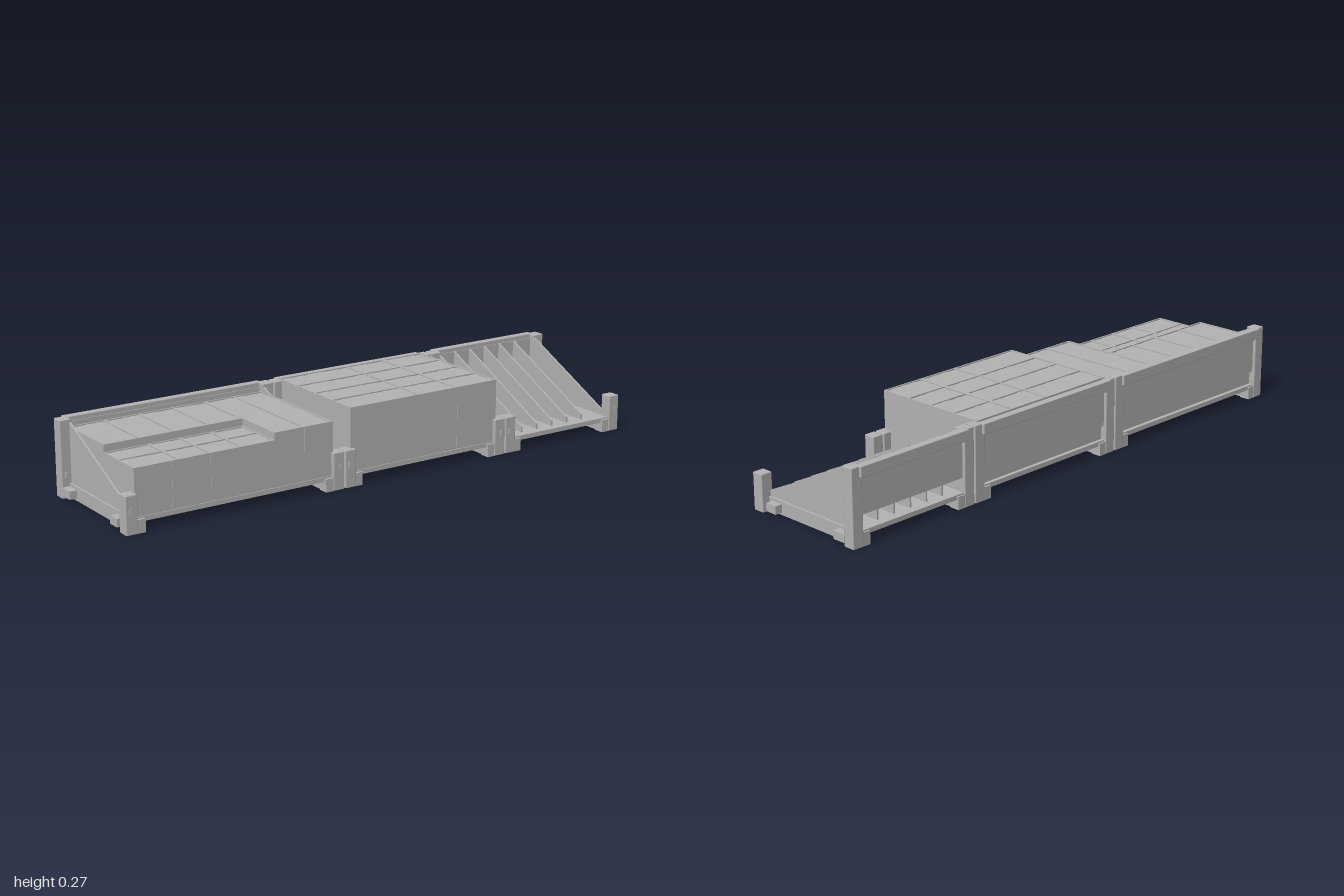
import * as THREE from 'three';
import { RoundedBoxGeometry } from 'three/addons/geometries/RoundedBoxGeometry.js';

const grey = new THREE.MeshStandardMaterial({ color: 0xb4b4b4 });
grey.name = 'plain grey';

function add(parent, name, geometry) {
  const mesh = new THREE.Mesh(geometry, grey);
  mesh.name = name;
  parent.add(mesh);
  return mesh;
}

// Box given by its lower and upper limits on each axis
function block(parent, name, x0, x1, y0, y1, z0, z1, radius = 0) {
  const s = [x1 - x0, y1 - y0, z1 - z0];
  const geo = radius ? new RoundedBoxGeometry(...s, 1, radius) : new THREE.BoxGeometry(...s);
  return add(parent, name, geo).position.set((x0 + x1) / 2, (y0 + y1) / 2, (z0 + z1) / 2);
}

// Triangular upright plate that rises towards the back
function slopedPlate(parent, name, x, thickness = 0.006) {
  const shape = new THREE.Shape([
    new THREE.Vector2(-0.197, 0.045), new THREE.Vector2(0.195, 0.045),
    new THREE.Vector2(0.195, 0.257), new THREE.Vector2(-0.197, 0.07),
  ]);
  const geo = new THREE.ExtrudeGeometry(shape, { depth: thickness, bevelEnabled: false });
  geo.rotateY(Math.PI / 2); // shape x runs towards -z
  add(parent, name, geo).position.x = x - thickness / 2;
}

// Rough, slightly lumpy fill seen between the dividers
function roughFill(parent, x0, x1, y, z0, z1) {
  const w = x1 - x0, d = z1 - z0;
  const geo = new THREE.PlaneGeometry(w, d, Math.ceil(w / 0.02), Math.ceil(d / 0.02));
  geo.rotateX(-Math.PI / 2);
  geo.translate((x0 + x1) / 2, y, (z0 + z1) / 2);
  const p = geo.attributes.position;
  for (let i = 0; i < p.count; i++) {
    const x = p.getX(i), z = p.getZ(i);
    p.setY(i, y + 0.0015 * Math.sin(x * 83 + 3 * Math.sin(z * 61)) * Math.cos(z * 97 + 2 * Math.sin(x * 47)));
  }
  geo.computeVertexNormals();
  add(parent, 'roughFill', geo);
}

// Closed bin: solid core, rim walls and a rough top
function bin(parent, x0, x1, top, z0, z1) {
  const g = new THREE.Group();
  g.name = 'bin';
  parent.add(g);
  const t = 0.005;
  block(g, 'binCore', x0 + 0.001, x1 - 0.001, 0.05, top - 0.008, z0 + 0.001, z1 - 0.001);
  for (const z of [z0, z1 - t]) block(g, 'binWall', x0, x1, 0.05, top, z, z + t);
  for (const x of [x0, x1 - t]) block(g, 'binSide', x, x + t, 0.05, top, z0 + t, z1 - t);
  roughFill(g, x0 + t, x1 - t, top - 0.004, z0 + t, z1 - t);
  return g;
}

const dividerX = (g, x, top, z0, z1, t = 0.008) =>
  block(g, 'divider', x - t / 2, x + t / 2, top - 0.012, top, z0, z1);
const dividerZ = (g, z, top, x0, x1, t = 0.008) =>
  block(g, 'divider', x0, x1, top - 0.012, top, z - t / 2, z + t / 2);

// Frame of one rack: posts, feet, side rails, floor and back board
function frame(parent, name, x0, x1) {
  const g = new THREE.Group();
  g.name = name;
  parent.add(g);
  for (const [x, s] of [[x0, 1], [x1, -1]]) {
    const side = (label, a, b, ...rest) =>
      block(g, label, Math.min(x + s * a, x + s * b), Math.max(x + s * a, x + s * b), ...rest);
    side('frontPost', 0, 0.042, 0, 0.13, 0.197, 0.24, 0.003);
    side('frontFoot', 0.004, 0.07, 0, 0.045, 0.199, 0.237);
    side('backPost', 0, 0.042, 0, 0.265, -0.233, -0.19, 0.003);
    side('backFoot', 0.004, 0.07, 0, 0.045, -0.231, -0.192);
    side('sideRail', 0.027, 0.07, 0.003, 0.05, -0.195, 0.2);
    side('latchBar', 0, 0.03, 0.012, 0.04, 0.135, 0.18);
    side('latchBar', 0, 0.03, 0.012, 0.04, -0.19, -0.14);
    side('latch', 0.012, 0.02, 0.07, 0.09, 0.238, 0.244);
    side('latch', 0.012, 0.02, 0.07, 0.09, -0.192, -0.185);
    slopedPlate(g, 'sidePlate', x + s * 0.037);
  }
  block(g, 'floor', x0 + 0.035, x1 - 0.035, 0.034, 0.05, -0.225, 0.228);
  block(g, 'backBoard', x0 + 0.03, x1 - 0.03, 0.1, 0.25, -0.222, -0.212);
  block(g, 'topRail', x0 + 0.03, x1 - 0.03, 0.228, 0.266, -0.243, -0.215, 0.003);
  return g;
}

export function createModel() {
  const model = new THREE.Group();
  model.name = 'storageRacks';

  // Long rack with a stepped bin
  const left = frame(model, 'longRack', -1, -0.19);
  const low = bin(left, -0.96, -0.45, 0.21, 0.03, 0.225);
  for (const x of [-0.8, -0.685, -0.57]) dividerX(low, x, 0.21, 0.03, 0.222);
  dividerZ(low, 0.12, 0.21, -0.96, -0.45);
  const high = bin(left, -0.96, -0.45, 0.235, -0.21, 0.03);
  for (const x of [-0.83, -0.7, -0.575]) dividerX(high, x, 0.235, -0.21, 0.03);
  const end = bin(left, -0.45, -0.225, 0.235, -0.21, 0.225);
  dividerX(end, -0.335, 0.235, -0.21, 0.222);

  // Middle rack with a tall bin
  const middle = frame(model, 'middleRack', -0.185, 0.48);
  const tall = bin(middle, -0.155, 0.45, 0.269, -0.211, 0.225);
  dividerX(tall, 0.125, 0.269, -0.21, 0.222, 0.006);
  dividerX(tall, 0.282, 0.269, -0.21, 0.222, 0.012);
  for (const z of [-0.1, 0.008, 0.11]) dividerZ(tall, z, 0.269, -0.155, 0.45);

  // Thin seams on the bin fronts
  for (const [x, y] of [[-0.825, 0.208], [-0.685, 0.208], [-0.335, 0.233], [0.285, 0.267]])
    block(model, 'frontSeam', x - 0.002, x + 0.002, 0.052, y, 0.224, 0.2265);

  // Open rack with sloping plates
  const right = frame(model, 'openRack', 0.485, 1);
  for (let i = 0; i < 5; i++) slopedPlate(right, 'slopedDivider', 0.591 + i * 0.0685);

  return model;
}
